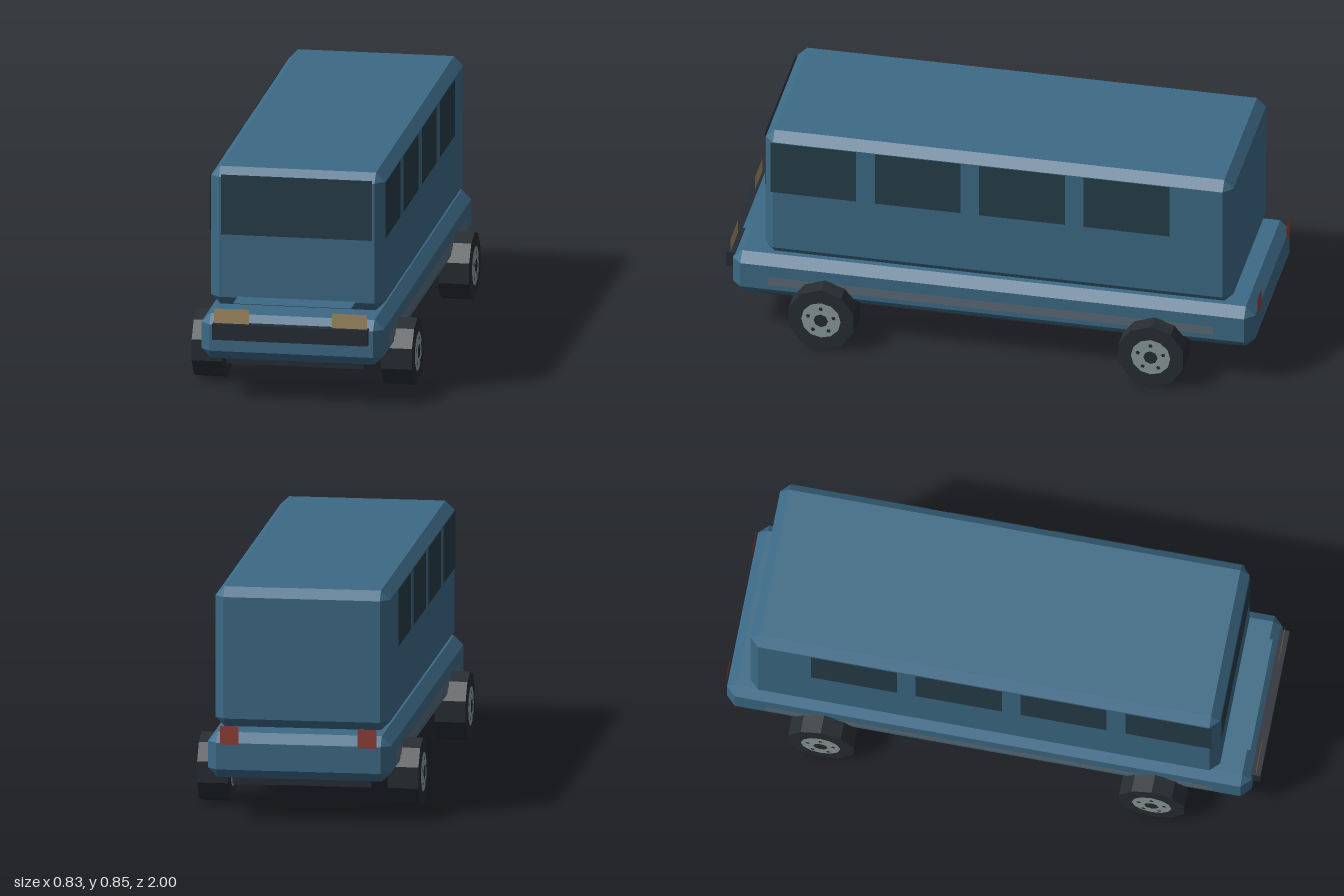
import * as THREE from 'three';
import { ConvexGeometry } from 'three/addons/geometries/ConvexGeometry.js';

const paint = (color, thin = false) => new THREE.MeshStandardMaterial({
  color, flatShading: true, side: thin ? THREE.DoubleSide : THREE.FrontSide });
const BLUE = paint(0x3d6a86), BLUE_PANEL = paint(0x3d6a86, true), DARK = paint(0x262c35);
const GLASS = paint(0x263d48, true), STRIPE = paint(0x5d6b76, true);
const AMBER = paint(0xa58d66, true), RED = paint(0x8f4038, true);
const TYRE = paint(0x272d31), RIM = paint(0x8b9a99, true), HUB = paint(0x262c30, true);

// Box with every edge cut at 45 degrees
function chamferBox(x, y0, y1, z0, z1, c) {
  const h = [x, (y1 - y0) / 2, (z1 - z0) / 2], points = [];
  for (const sx of [-1, 1]) for (const sy of [-1, 1]) for (const sz of [-1, 1])
    for (let full = 0; full < 3; full++) {
      const p = h.map((v, i) => (i === full ? v : v - c));
      points.push(new THREE.Vector3(p[0] * sx, p[1] * sy, p[2] * sz));
    }
  return new ConvexGeometry(points).translate(0, (y0 + y1) / 2, (z0 + z1) / 2);
}

function box(x, y0, y1, z0, z1) {
  return new THREE.BoxGeometry(2 * x, y1 - y0, z1 - z0).translate(0, (y0 + y1) / 2, (z0 + z1) / 2);
}

function add(parent, name, geometry, material) {
  const mesh = new THREE.Mesh(geometry, material);
  mesh.name = name;
  parent.add(mesh);
  return mesh;
}

// Flat panels facing along z and along x
function zPanel(x0, x1, y0, y1, z) {
  const g = new THREE.PlaneGeometry(x1 - x0, y1 - y0);
  if (z < 0) g.rotateY(Math.PI);
  return g.translate((x0 + x1) / 2, (y0 + y1) / 2, z);
}
function xPanel(x, y0, y1, z0, z1) {
  return new THREE.PlaneGeometry(z1 - z0, y1 - y0)
    .rotateY(Math.sign(x) * Math.PI / 2).translate(x, (y0 + y1) / 2, (z0 + z1) / 2);
}

// Wheel centred on its own axle, with a rim, hub and lugs on both faces
function makeWheel() {
  const wheel = new THREE.Group();
  wheel.name = 'wheel';
  add(wheel, 'tyre', new THREE.CylinderGeometry(0.128, 0.128, 0.115, 10)
    .rotateY(Math.PI / 10).rotateZ(Math.PI / 2), TYRE);
  for (const s of [-1, 1]) {
    const face = new THREE.Group();
    face.name = 'wheelFace';
    face.rotation.y = s * Math.PI / 2;
    face.position.x = s * 0.06;
    add(face, 'rim', new THREE.CircleGeometry(0.074, 12), RIM);
    add(face, 'hub', new THREE.CircleGeometry(0.027, 8).translate(0, 0, 0.003), HUB);
    for (let i = 0; i < 5; i++) {
      const a = Math.PI / 2 + i * Math.PI * 0.4;
      add(face, 'lug', new THREE.CircleGeometry(0.008, 6)
        .translate(0.05 * Math.cos(a), 0.05 * Math.sin(a), 0.003), HUB);
    }
    wheel.add(face);
  }
  return wheel;
}

export function createModel() {
  const van = new THREE.Group();
  van.name = 'van';

  // Main body
  add(van, 'lowerBody', chamferBox(0.34, 0.155, 0.325, -0.99, 0.97, 0.035), BLUE);
  add(van, 'cabin', chamferBox(0.324, 0.33, 0.853, -0.905, 0.85, 0.034), BLUE);
  add(van, 'chassis', box(0.257, 0.12, 0.17, -0.9, 0.88), DARK);
  add(van, 'frontBumper', box(0.289, 0.24, 0.3, 0.965, 1.0), DARK);
  add(van, 'hood', new THREE.PlaneGeometry(0.44, 0.2)
    .rotateX(-Math.PI / 2).translate(0, 0.368, 0.85), BLUE_PANEL);
  add(van, 'windshield', zPanel(-0.282, 0.282, 0.603, 0.83, 0.854), GLASS);

  for (const s of [-1, 1]) {
    // Side glass and trim
    for (let i = 0; i < 4; i++) {
      const front = 0.825 - i * 0.392;
      add(van, 'sideWindow', xPanel(s * 0.327, 0.605, 0.818, front - 0.322, front), GLASS);
    }
    add(van, 'sideStripe', xPanel(s * 0.343, 0.21, 0.245, -0.84, 0.83), STRIPE);

    // Lights
    add(van, 'headlight', zPanel(s * 0.22 - 0.065, s * 0.22 + 0.065, 0.25, 0.355, 0.983), AMBER);
    add(van, 'tailLight', zPanel(s * 0.255 - 0.035, s * 0.255 + 0.035, 0.285, 0.355, -0.996), RED);

    // Wheels
    for (const z of [-0.62, 0.617]) {
      const wheel = makeWheel();
      wheel.position.set(s * 0.353, 0.128, z);
      van.add(wheel);
    }
  }
  return van;
}
